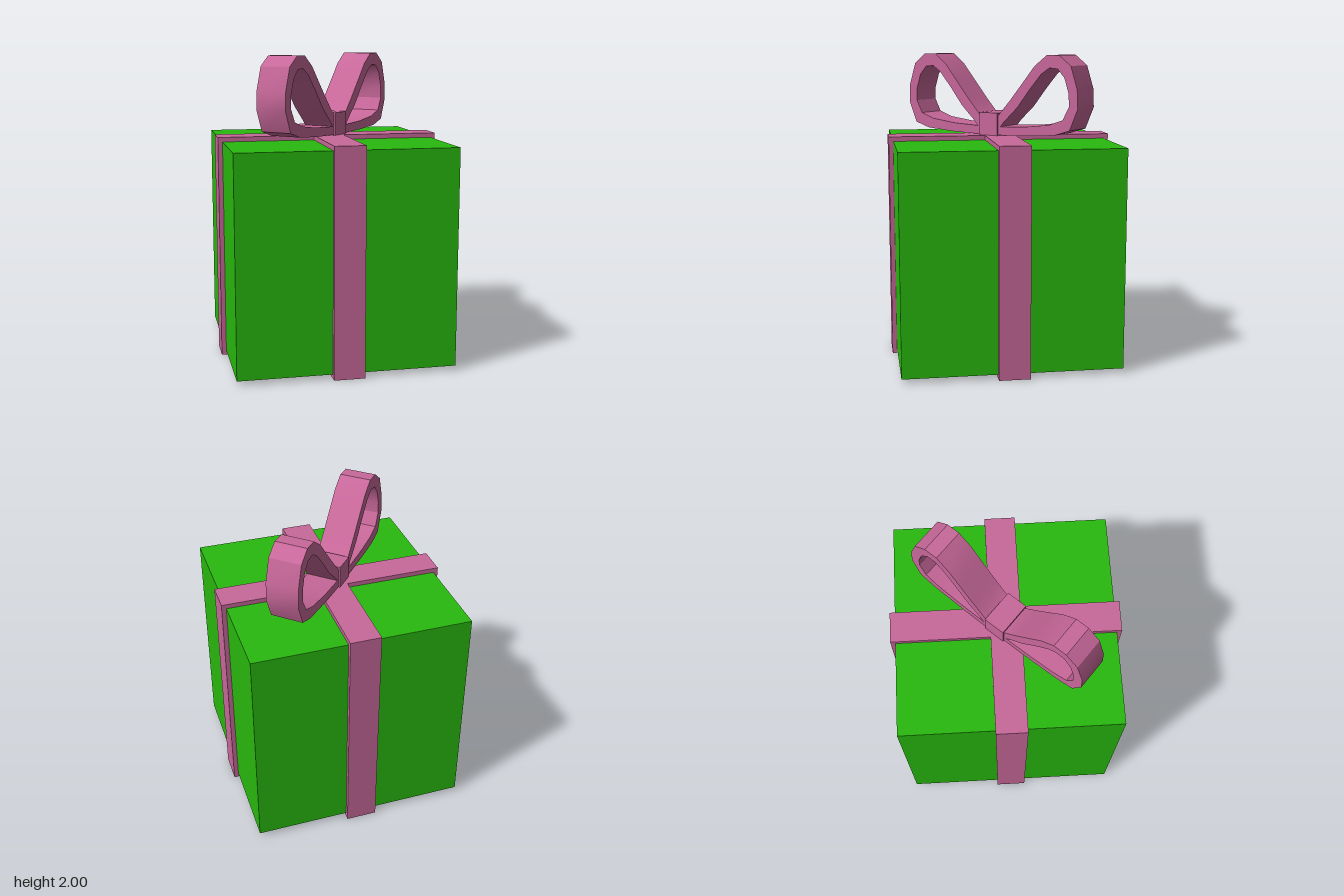
import * as THREE from 'three';
import { toCreasedNormals } from 'three/addons/utils/BufferGeometryUtils.js';

const pink = new THREE.MeshStandardMaterial({ color: 0xc8689a });
const green = new THREE.MeshStandardMaterial({ color: 0x28b90e });

const HALF = 0.705;        // half width of the box
const REACH = 0.735;       // half width across the ribbon
const BAND = 0.1;          // half width of the ribbon
const TOP = 1.47;          // height of the ribbon's top face
const BOW_WIDTH = 0.212;

const points = (list) => list.map(([x, y]) => new THREE.Vector2(x, y));

function addMesh(parent, name, geometry, material) {
  const mesh = new THREE.Mesh(geometry, material);
  mesh.name = name;
  parent.add(mesh);
  return mesh;
}

// Two crossing bands as one plus-shaped solid, slightly proud of the box
function ribbonGeometry() {
  const a = BAND, b = REACH;
  const cross = new THREE.Shape(points([
    [a, -b], [a, -a], [b, -a], [b, a], [a, a], [a, b],
    [-a, b], [-a, a], [-b, a], [-b, -a], [-a, -a], [-a, -b],
  ]));
  return new THREE.ExtrudeGeometry(cross, { depth: TOP, bevelEnabled: false })
    .rotateX(-Math.PI / 2);
}

// One bow loop: side outline with a hole, extruded to the width of the strap
function loopGeometry() {
  const outline = new THREE.Shape(points([
    [0, 1.472], [0.3, 1.48], [0.5, 1.495], [0.61, 1.53], [0.668, 1.67],
    [0.662, 1.79], [0.615, 1.935], [0.53, 2], [0.44, 2], [0.35, 1.93],
    [0.26, 1.82], [0.16, 1.7], [0.07, 1.6], [0, 1.57],
  ]));
  outline.holes.push(new THREE.Path(points([
    [0.09, 1.53], [0.12, 1.565], [0.22, 1.66], [0.31, 1.775], [0.4, 1.88],
    [0.46, 1.92], [0.52, 1.915], [0.57, 1.86], [0.602, 1.76], [0.604, 1.68],
    [0.56, 1.595], [0.46, 1.56], [0.28, 1.538],
  ])));
  const loop = new THREE.ExtrudeGeometry(outline, { depth: BOW_WIDTH, bevelEnabled: false })
    .translate(0, 0, -BOW_WIDTH / 2);
  return toCreasedNormals(loop, 0.5);
}

export function createModel() {
  const model = new THREE.Group();
  model.name = 'giftBox';

  // Wrapped box
  const box = addMesh(model, 'box', new THREE.BoxGeometry(2 * HALF, 1.41, 2 * HALF), green);
  box.position.y = 0.735;

  addMesh(model, 'ribbon', ribbonGeometry(), pink);

  // Bow set diagonally across the lid
  const bow = new THREE.Group();
  bow.name = 'bow';
  bow.rotation.y = THREE.MathUtils.degToRad(48);
  model.add(bow);

  const loop = loopGeometry();
  addMesh(bow, 'loopLeft', loop, pink);
  addMesh(bow, 'loopRight', loop, pink).rotation.y = Math.PI;

  const knot = addMesh(bow, 'knot', new THREE.BoxGeometry(0.142, 0.155, 0.23), pink);
  knot.position.y = 1.542;

  return model;
}
